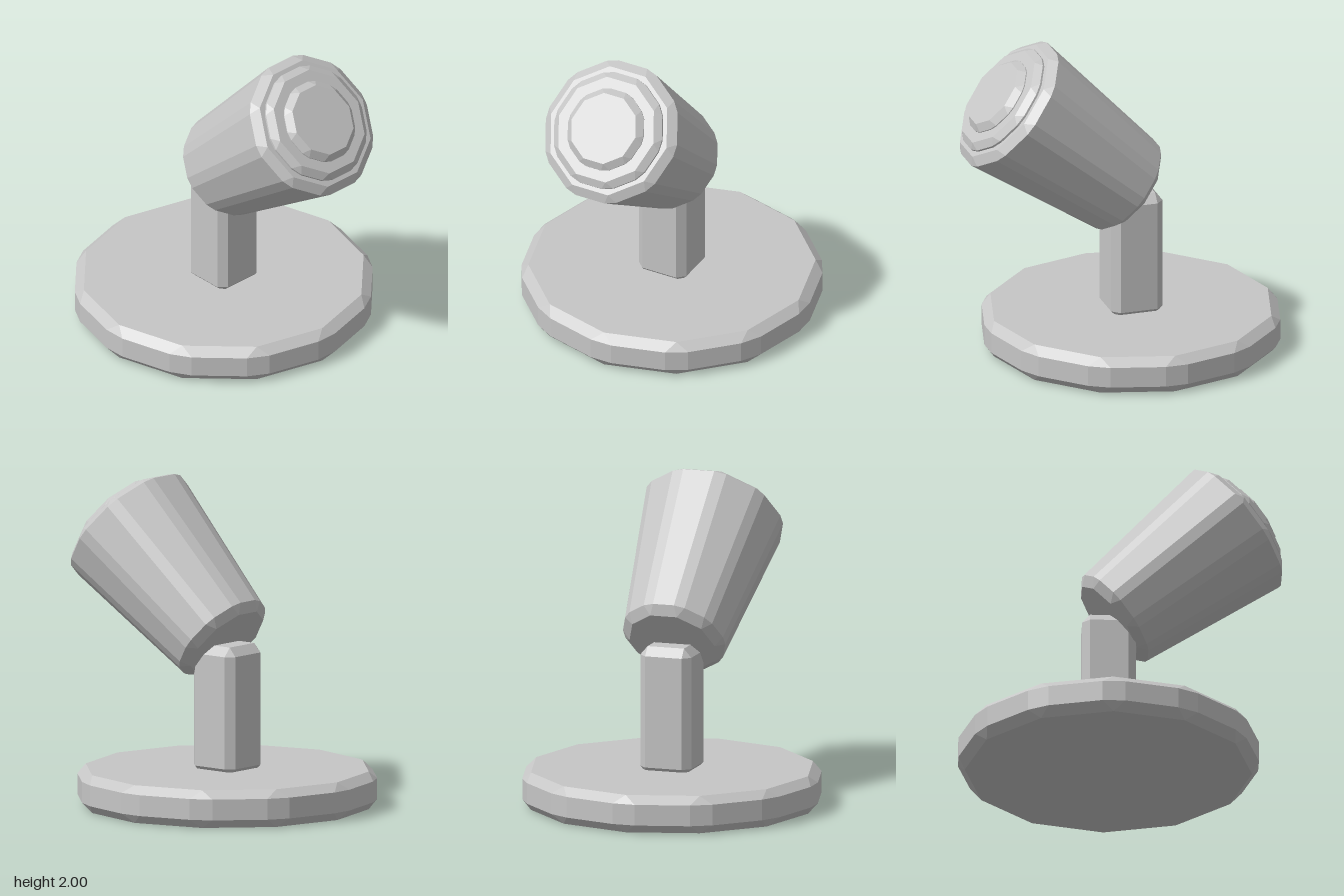
import * as THREE from 'three';

const grey = new THREE.MeshStandardMaterial({ color: 0xc6c6c6, flatShading: true });
grey.name = 'plain grey';

// Prism with bevelled edges and corners. Each end is { capY, capR, y, r, cut }:
// an n-sided cap, then a ring whose corners are split by +-cut degrees.
function bevelledPrism(name, n, turn, bottom, top) {
  const point = (deg, r, y) => {
    const a = THREE.MathUtils.degToRad(deg);
    return [r * Math.sin(a), y, r * Math.cos(a)];
  };
  const cap = (e, k) => point(turn + (k * 360) / n, e.capR, e.capY);
  const ring = (e, j) => {
    const side = j % 2 ? 1 : -1;
    return point(turn + (Math.floor(j / 2) * 360) / n + side * e.cut, e.r, e.y);
  };
  const pos = [];
  const face = (...p) => {
    for (let i = 1; i < p.length - 1; i++) pos.push(...p[0], ...p[i], ...p[i + 1]);
  };
  for (let k = 0; k < n; k++) {
    const j = 2 * k;
    // side walls: narrow corner strip, then wide flat
    for (const i of [j, j + 1]) {
      face(ring(bottom, i), ring(bottom, i + 1), ring(top, i + 1), ring(top, i));
    }
    // top bevel and cap
    face(ring(top, j), ring(top, j + 1), cap(top, k));
    face(ring(top, j + 1), ring(top, j + 2), cap(top, k + 1), cap(top, k));
    face([0, top.capY, 0], cap(top, k), cap(top, k + 1));
    // bottom bevel and cap
    face(ring(bottom, j + 1), ring(bottom, j), cap(bottom, k));
    face(ring(bottom, j + 2), ring(bottom, j + 1), cap(bottom, k), cap(bottom, k + 1));
    face([0, bottom.capY, 0], cap(bottom, k + 1), cap(bottom, k));
  }
  const geo = new THREE.BufferGeometry();
  geo.setAttribute('position', new THREE.Float32BufferAttribute(pos, 3));
  geo.computeVertexNormals();
  const mesh = new THREE.Mesh(geo, grey);
  mesh.name = name;
  return mesh;
}

export function createModel() {
  const model = new THREE.Group();
  model.name = 'spotlight';

  // Round foot
  const base = bevelledPrism('base', 12, 0,
    { capY: 0, capR: 0.885, y: 0.055, r: 0.928, cut: 4.4 },
    { capY: 0.235, capR: 0.885, y: 0.185, r: 0.928, cut: 4.4 });
  base.position.z = -0.075;

  // Square post with chamfered edges
  const post = bevelledPrism('post', 4, 45,
    { capY: 0.205, capR: 0.167, y: 0.255, r: 0.204, cut: 9.4 },
    { capY: 1.01, capR: 0.167, y: 0.955, r: 0.204, cut: 9.4 });
  post.position.z = -0.075;

  // Tilted lamp head, its axis along local y
  const head = new THREE.Group();
  head.name = 'lampHead';
  head.position.set(0, 1.0425, -0.035);
  head.rotation.x = 0.877;
  const length = 0.973;
  head.add(bevelledPrism('shade', 10, 18,
    { capY: -0.048, capR: 0.277, y: 0, r: 0.327, cut: 6 },
    { capY: length + 0.043, capR: 0.403, y: length, r: 0.447, cut: 5 }));

  // Stepped ring and lens on the front of the shade
  const steps = [['lensRing', 0.33, 0.365, 0.056, 0.09], ['lens', 0.222, 0.257, 0.096, 0.134]];
  for (const [name, capR, r, y, capY] of steps) {
    head.add(bevelledPrism(name, 10, 18,
      { capY: length - 0.03, capR, y: length, r, cut: 6 },
      { capY: length + capY, capR, y: length + y, r, cut: 6 }));
  }

  model.add(base, post, head);
  return model;
}
